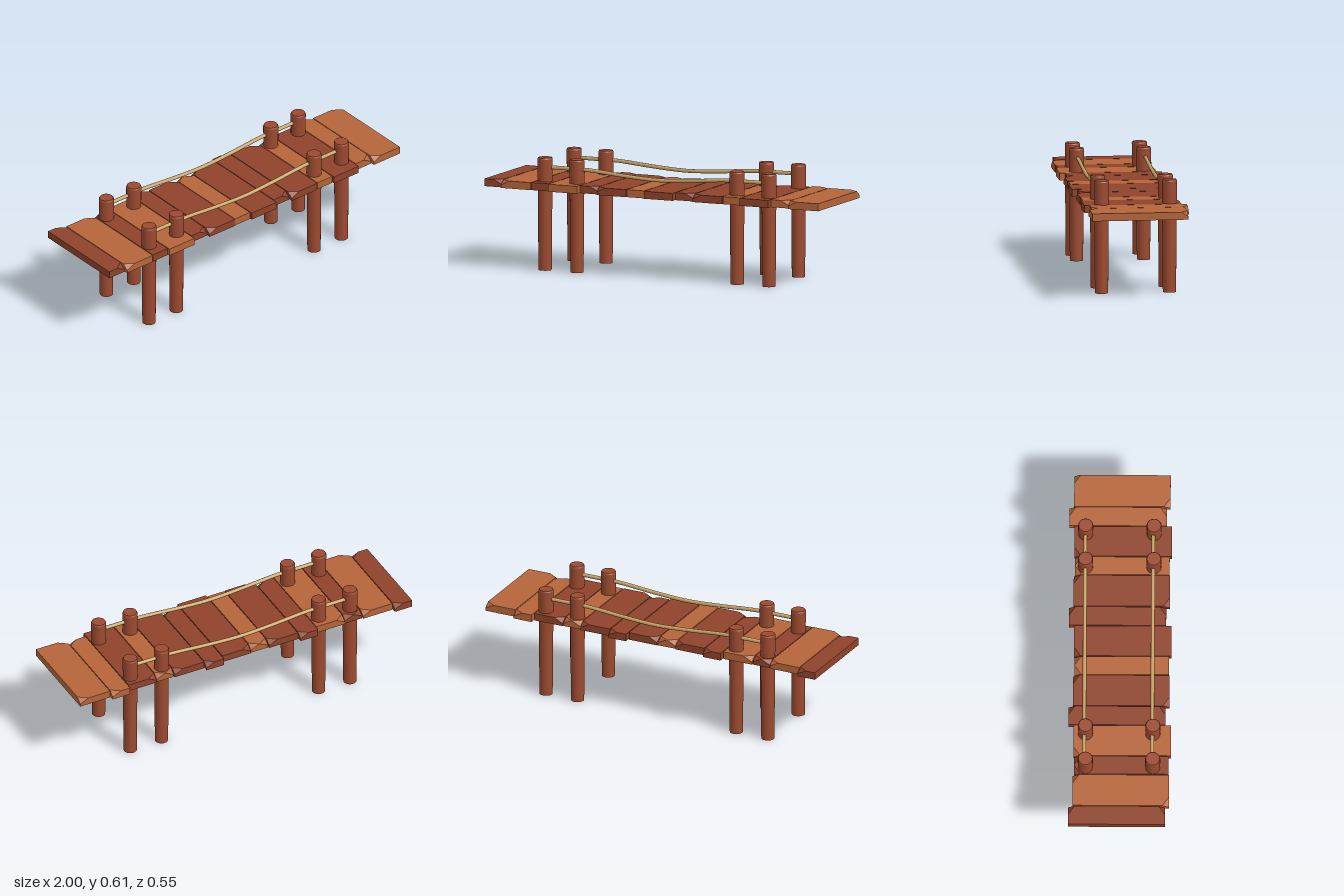
import * as THREE from 'three';
import { ConvexGeometry } from 'three/addons/geometries/ConvexGeometry.js';

const material = (name, color) => {
  const m = new THREE.MeshStandardMaterial({ color });
  m.name = name;
  return m;
};

const BOTTOM = 0.443, TOP = 0.484;

// Board with some upper corners chipped off; chips are keys such as '1,-1' (x side, z side)
function plankGeometry(x0, x1, z0, z1, chips) {
  const points = [];
  const cx = 0.05, cy = 0.025, cz = 0.035;
  for (const sx of [-1, 1]) for (const sz of [-1, 1]) {
    const x = sx < 0 ? x0 : x1, z = sz < 0 ? z0 : z1;
    points.push(new THREE.Vector3(x, BOTTOM, z));
    if (chips.includes(`${sx},${sz}`)) {
      points.push(
        new THREE.Vector3(x - sx * cx, TOP, z),
        new THREE.Vector3(x, TOP - cy, z),
        new THREE.Vector3(x, TOP, z - sz * cz));
    } else points.push(new THREE.Vector3(x, TOP, z));
  }
  return new ConvexGeometry(points);
}

export function createModel() {
  const group = new THREE.Group();
  const lightWood = material('light plank wood', 0xb5653a);
  const darkWood = material('dark plank wood', 0x8f432b);
  const postWood = material('post wood', 0x9c4a30);
  const ropeFibre = material('rope fibre', 0xc9a468);

  const add = (name, geometry, mat) => {
    const mesh = new THREE.Mesh(geometry, mat);
    mesh.name = name;
    group.add(mesh);
    return mesh;
  };

  // Deck: four board shapes repeated along the length
  const boards = [
    { z0: -0.278, z1: 0.245, chips: ['1,1', '1,-1'] },
    { z0: -0.254, z1: 0.265, chips: ['1,-1', '-1,1'] },
    { z0: -0.247, z1: 0.262, chips: ['1,-1', '-1,-1'] },
    { z0: -0.251, z1: 0.274, chips: ['-1,-1'] },
  ];
  const edges = [-1, -0.892, -0.712, -0.606, -0.43, -0.32, -0.142, -0.035,
    0.14, 0.25, 0.43, 0.536, 0.71, 0.82, 1];
  const tones = 'DLDLDDLDDDLDLL';
  for (let i = 0; i < tones.length; i++) {
    const b = boards[i % 4];
    const gap = i === tones.length - 1 ? 0 : 0.004;
    add('plank', plankGeometry(edges[i], edges[i + 1] - gap, b.z0, b.z1, b.chips),
      tones[i] === 'L' ? lightWood : darkWood);
  }

  // Posts: tapered, with a small bevel at the top
  const side = new THREE.CylinderGeometry(0.041, 0.036, 0.605, 20, 1, true);
  side.translate(0, 0.3025, 0);
  const bevel = new THREE.CylinderGeometry(0.037, 0.041, 0.008, 20, 1, true);
  bevel.translate(0, 0.609, 0);
  const topCap = new THREE.CircleGeometry(0.037, 20);
  topCap.rotateX(-Math.PI / 2).translate(0, 0.613, 0);
  const footCap = new THREE.CircleGeometry(0.036, 20);
  footCap.rotateX(Math.PI / 2);
  for (const x of [-0.67, -0.48, 0.475, 0.665]) {
    for (const z of [0.177, x < 0 ? -0.186 : -0.191]) {
      const post = new THREE.Group();
      post.name = 'post';
      post.position.set(x, 0, z);
      for (const g of [side, bevel, topCap, footCap]) post.add(new THREE.Mesh(g, postWood));
      group.add(post);
    }
  }

  // Ropes: level between paired posts, sagging over the middle span
  for (const z of [0.173, -0.193]) {
    const path = new THREE.CatmullRomCurve3([
      [-0.67, 0.56], [-0.55, 0.56], [-0.41, 0.559], [-0.2, 0.542], [0, 0.532],
      [0.2, 0.542], [0.41, 0.559], [0.55, 0.56], [0.665, 0.56],
    ].map(([x, y]) => new THREE.Vector3(x, y, z)));
    add('rope', new THREE.TubeGeometry(path, 40, 0.0105, 10), ropeFibre);
  }

  return group;
}
